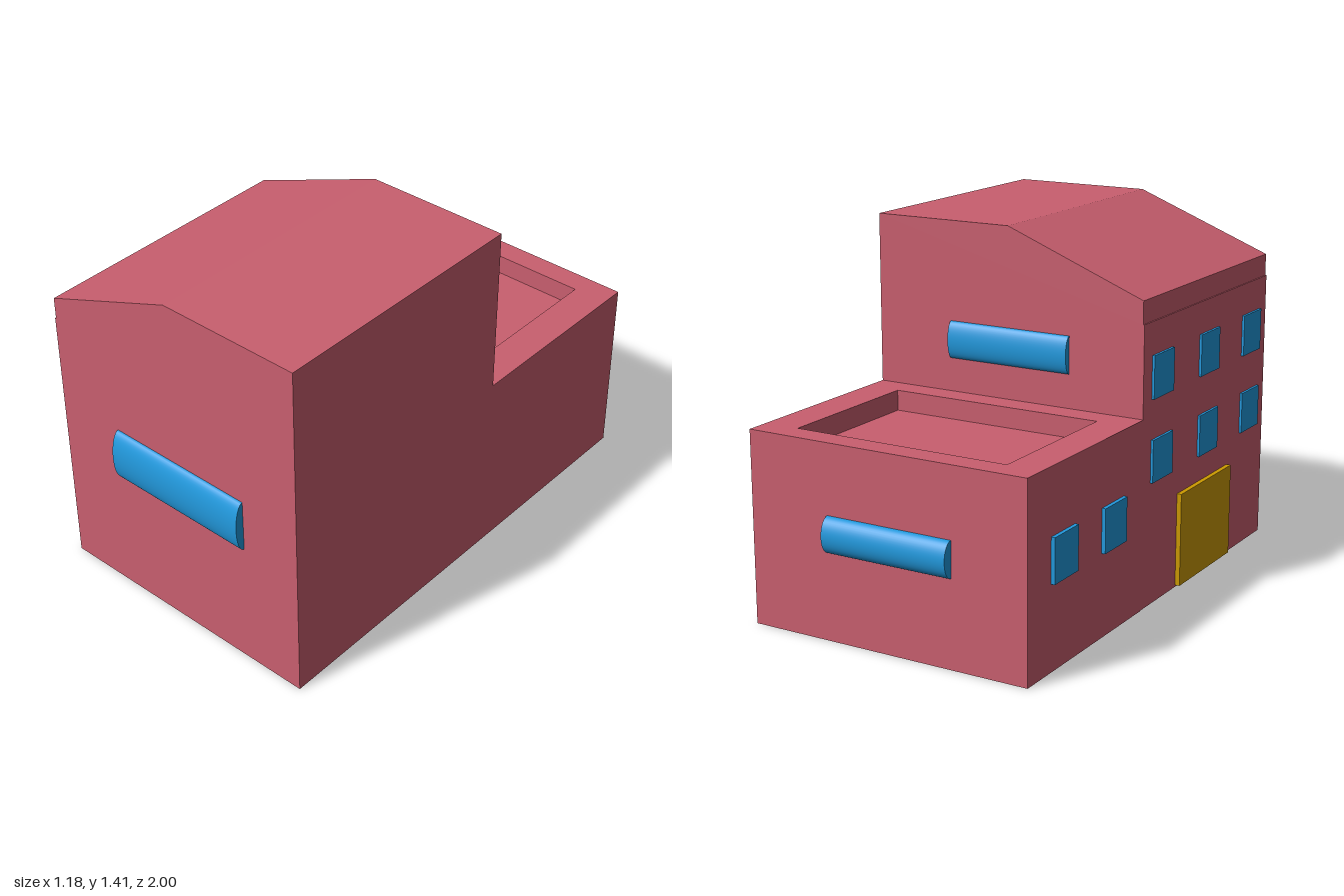
import * as THREE from 'three';

const wallMat = new THREE.MeshStandardMaterial({ color: 0xc95f6f });
const blueMat = new THREE.MeshStandardMaterial({ color: 0x2299dd });
const doorMat = new THREE.MeshStandardMaterial({ color: 0xcc9a00 });

function addMesh(parent, name, geometry, material) {
  const mesh = new THREE.Mesh(geometry, material);
  mesh.name = name;
  parent.add(mesh);
  return mesh;
}

// Box given by its lower and upper limits on each axis
function addBox(parent, name, material, [x0, x1], [y0, y1], [z0, z1]) {
  const mesh = addMesh(parent, name, new THREE.BoxGeometry(x1 - x0, y1 - y0, z1 - z0), material);
  mesh.position.set((x0 + x1) / 2, (y0 + y1) / 2, (z0 + z1) / 2);
  return mesh;
}

// Horizontal half-elliptical bar bulging out of a wall; dir is the wall's z direction
function addBar(parent, name, [x0, x1], y, z, halfHeight, bulge, dir) {
  const geometry = new THREE.CylinderGeometry(1, 1, x1 - x0, 48);
  geometry.rotateZ(Math.PI / 2);
  geometry.scale(1, halfHeight, bulge);
  const mesh = addMesh(parent, name, geometry, blueMat);
  mesh.position.set((x0 + x1) / 2, y, z);
  if (dir < 0) mesh.rotation.y = 0;
}

function rectPoints(x0, x1, y0, y1) {
  return [[x0, y0], [x1, y0], [x1, y1], [x0, y1]].map(([x, y]) => new THREE.Vector2(x, y));
}

export function createModel() {
  const model = new THREE.Group();
  model.name = 'building';

  // Tall block: gable-end profile with a half-sloped roof and a small setback below the eave
  const profile = new THREE.Shape([
    [-0.571, 0], [0.587, 0], [0.587, 1.412], [0.005, 1.412],
    [-0.566, 1.188], [-0.566, 1.1], [-0.571, 1.1],
  ].map(([x, y]) => new THREE.Vector2(x, y)));
  const tall = new THREE.ExtrudeGeometry(profile, { depth: 1.092, bevelEnabled: false });
  tall.translate(0, 0, -0.128);
  addMesh(model, 'mainBlock', tall, wallMat);

  // Low rear block with a sunken flat roof
  const roofY = 0.745, recess = 0.08;
  addBox(model, 'annex', wallMat, [-0.573, 0.587], [0, roofY - recess], [-0.957, -0.128]);
  const rim = new THREE.Shape(rectPoints(-0.573, 0.587, 0.128, 0.957));
  rim.holes.push(new THREE.Path(rectPoints(-0.435, 0.445, 0.23, 0.86)));
  const parapet = new THREE.ExtrudeGeometry(rim, { depth: recess, bevelEnabled: false });
  parapet.rotateX(-Math.PI / 2);
  parapet.translate(0, roofY - recess, 0);
  addMesh(model, 'annexParapet', parapet, wallMat);

  // Windows along the -x wall
  for (const z of [-0.06, 0.34, 0.735]) {
    for (const y of [0.485, 0.807]) {
      addBox(model, 'mainWindow', blueMat, [-0.581, -0.55], [y, y + 0.166], [z, z + 0.165]);
    }
  }
  for (const z of [-0.8, -0.44]) {
    addBox(model, 'annexWindow', blueMat, [-0.588, -0.55], [0.325, 0.495], [z, z + 0.165]);
  }

  // Wide entrance door
  addBox(model, 'door', doorMat, [-0.59, -0.55], [0.007, 0.38], [0.17, 0.622]);

  // Rounded bars on the front and rear walls
  addBar(model, 'frontBar', [-0.283, 0.336], 0.632, 0.964, 0.107, 0.036, 1);
  addBar(model, 'upperRearBar', [-0.26, 0.26], 0.95, -0.128, 0.073, 0.028, -1);
  addBar(model, 'lowerRearBar', [-0.27, 0.25], 0.407, -0.957, 0.069, 0.043, -1);

  return model;
}
